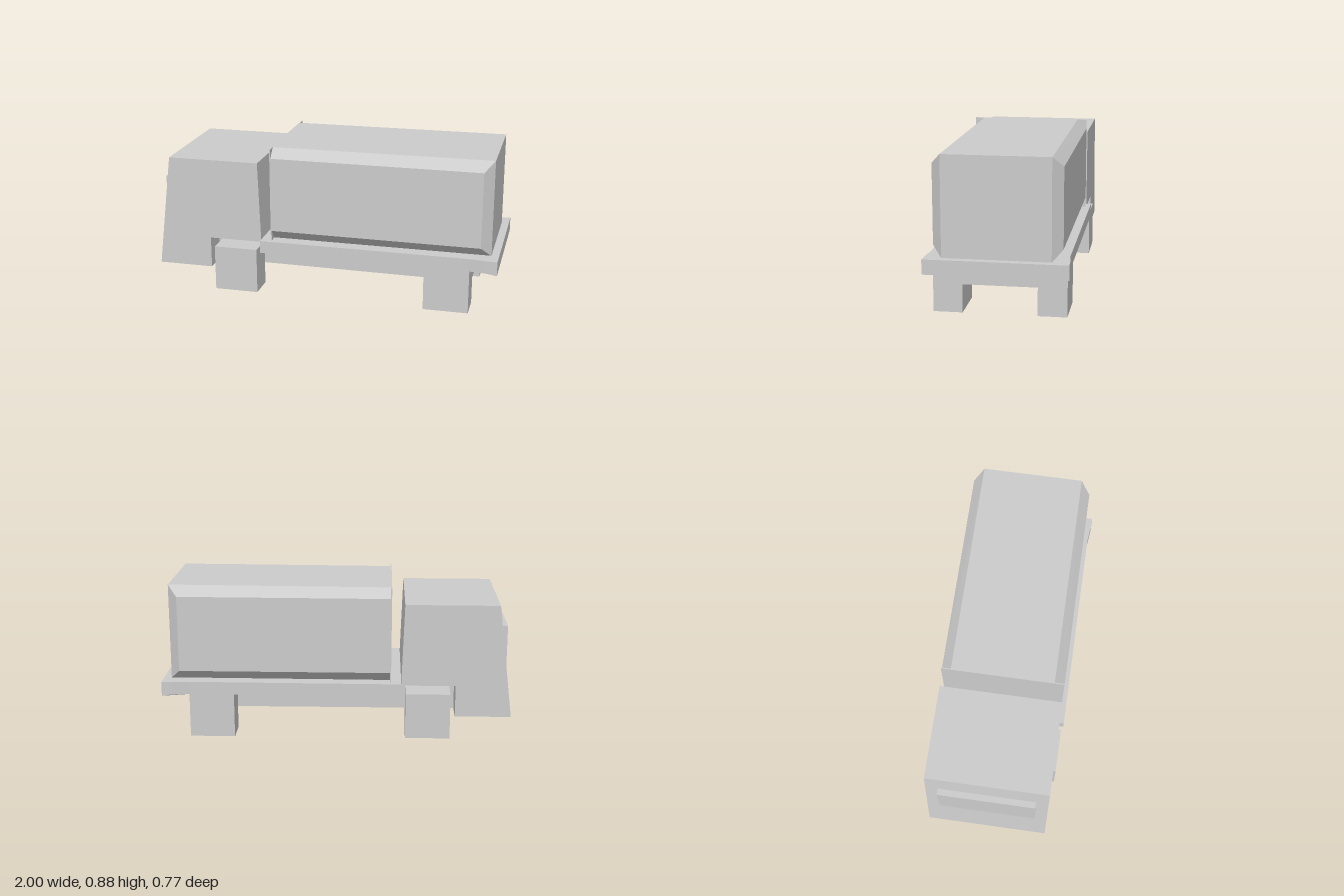
import * as THREE from 'three';
import { ConvexGeometry } from 'three/addons/geometries/ConvexGeometry.js';

const material = new THREE.MeshStandardMaterial({ color: 0xcccccc, flatShading: true });

export function createModel() {
  const truck = new THREE.Group();
  truck.name = 'truck';

  const add = (name, geometry) => {
    const mesh = new THREE.Mesh(geometry, material);
    mesh.name = name;
    truck.add(mesh);
    return mesh;
  };

  // Extrudes a flat outline along +z
  const prism = (points, depth) => new THREE.ExtrudeGeometry(
    new THREE.Shape(points.map(([a, b]) => new THREE.Vector2(a, b))),
    { depth, bevelEnabled: false });

  // Side profile (x, y) between two z positions
  const sideProfile = (name, points, z0, z1) =>
    add(name, prism(points, z1 - z0).translate(0, 0, z0));

  // Box given by its limits
  const block = (name, [x0, x1], [y0, y1], [z0, z1]) =>
    add(name, new THREE.BoxGeometry(x1 - x0, y1 - y0, z1 - z0)
      .translate((x0 + x1) / 2, (y0 + y1) / 2, (z0 + z1) / 2));

  // Cab with sloping front and open wheel arches
  sideProfile('cab', [
    [-1, 0.135], [-0.68, 0.135], [-0.68, 0.317], [-0.37, 0.317], [-0.386, 0.79], [-0.918, 0.79],
  ], -0.345, 0.345);

  // Wedge-shaped windscreen standing out from the sloping front
  sideProfile('windscreen', [[-0.97, 0.38], [-0.93, 0.655], [-0.97, 0.655]], -0.275, 0.275);

  // Chassis beam
  sideProfile('chassis', [
    [-0.69, 0.135], [0.66, 0.13], [0.66, 0.3], [-0.37, 0.3], [-0.37, 0.32], [-0.69, 0.32],
  ], -0.203, 0.203);

  // Load bed, flaring and deepening slightly towards the tail
  const bed = prism([
    [-0.37, -0.373], [0.84, -0.373], [0.94, -0.384], [1, -0.386],
    [1, 0.386], [0.94, 0.384], [0.84, 0.373], [-0.37, 0.373],
  ], 0.073).rotateX(Math.PI / 2).translate(0, 0.332, 0);
  const position = bed.attributes.position;
  for (let i = 0; i < position.count; i++) {
    if (position.getY(i) < 0.3 && position.getX(i) > 0.99) position.setY(i, 0.25);
  }
  bed.computeVertexNormals();
  add('loadBed', bed);

  // Cargo body: chamfered along its long edges and its rear corners
  const corners = [];
  for (const side of [-1, 1]) {
    for (const [x, y, z] of [
      [-0.308, 0.877, 0.29], [-0.308, 0.823, 0.345], [-0.308, 0.39, 0.345], [-0.308, 0.33, 0.29],
      [0.957, 0.882, 0.29], [0.902, 0.824, 0.345], [0.902, 0.388, 0.345], [0.957, 0.33, 0.29],
    ]) corners.push(new THREE.Vector3(x, y, side * z));
  }
  add('cargoBody', new ConvexGeometry(corners));

  // Square-cornered board at the front of the cargo body
  block('headboard', [-0.312, -0.306], [0.33, 0.877], [-0.345, 0.345]);

  // Block wheels, mirrored
  for (const side of [-1, 1]) {
    const z = side > 0 ? [0.203, 0.362] : [-0.362, -0.203];
    block('frontWheel', [-0.652, -0.396], [0.005, 0.27], z);
    block('rearWheel', [0.588, 0.845], [0, 0.26], z);
  }

  // Bridge joining the rear wheels
  block('rearAxle', [0.588, 0.845], [0.158, 0.26], [-0.21, 0.21]);

  return truck;
}
